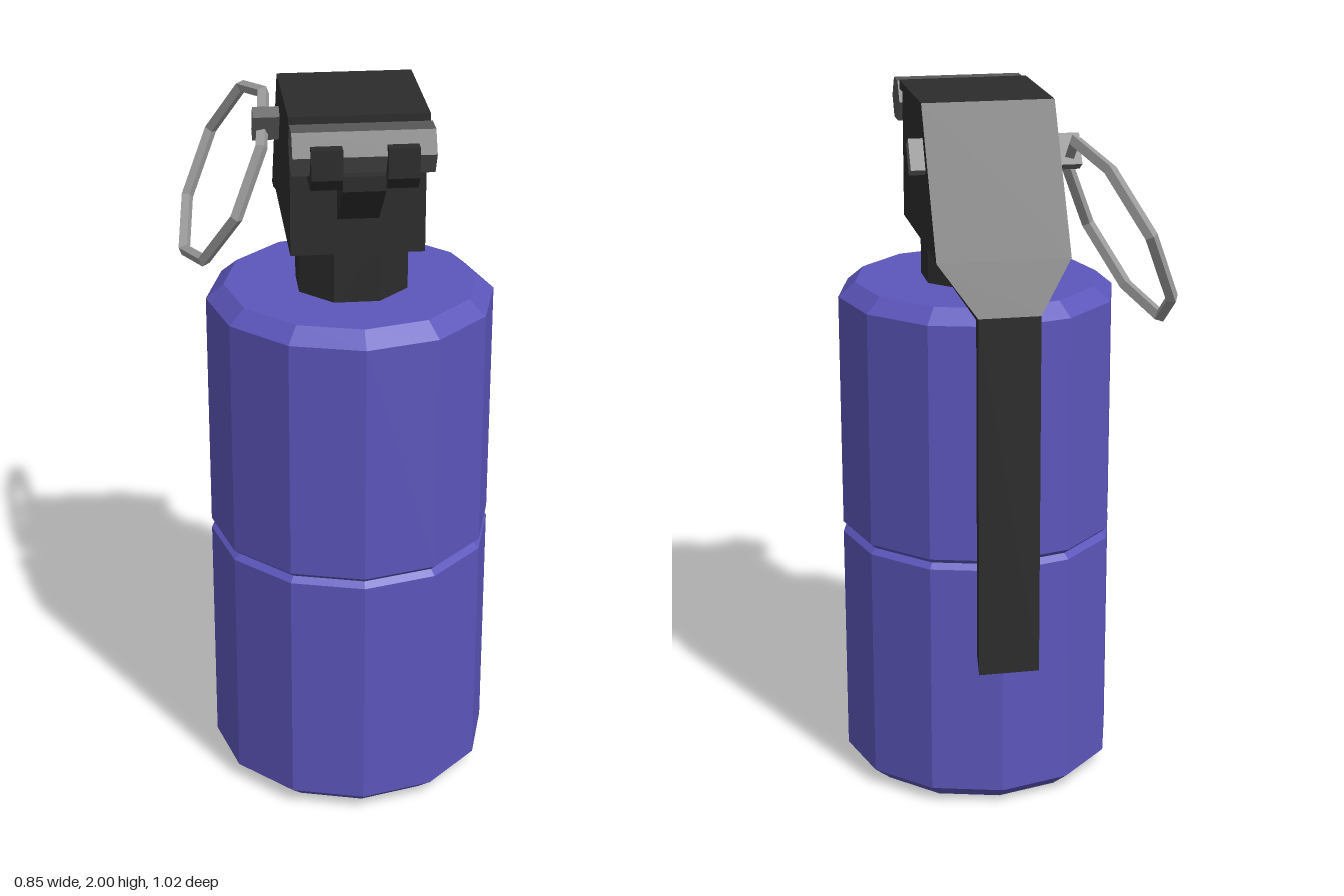
import * as THREE from 'three';

const CX = 0.025; // centre line of the canister and head

const paint = (name, color) => {
  const m = new THREE.MeshStandardMaterial({ color });
  m.name = name;
  return m;
};

// Faceted mesh: every face keeps its own normal
function part(name, geometry, material, parent) {
  const g = geometry.index ? geometry.toNonIndexed() : geometry;
  g.computeVertexNormals();
  const mesh = new THREE.Mesh(g, material);
  mesh.name = name;
  parent.add(mesh);
  return mesh;
}

// Side profile of [z, y] points, extruded across x around the centre line
function sideProfile(points, width) {
  const shape = new THREE.Shape(points.map(([z, y]) => new THREE.Vector2(-z, y)));
  return new THREE.ExtrudeGeometry(shape, { depth: width, bevelEnabled: false })
    .translate(0, 0, -width / 2).rotateY(Math.PI / 2).translate(CX, 0, 0);
}

// Bent sheet from rows of [outer z, outer y, inner z, inner y, half width]
function bentSheet(rows) {
  const pos = [], idx = [];
  rows.forEach(([oz, oy, iz, iy, h]) => {
    pos.push(CX + h, oy, oz, CX - h, oy, oz, CX - h, iy, iz, CX + h, iy, iz);
  });
  for (let r = 0; r < rows.length - 1; r++) {
    for (let i = 0; i < 4; i++) {
      const j = (i + 1) % 4, a = r * 4, b = a + 4;
      idx.push(a + i, b + i, b + j, a + i, b + j, a + j);
    }
  }
  const e = (rows.length - 1) * 4;
  idx.push(0, 1, 2, 0, 2, 3, e + 3, e + 2, e + 1, e + 3, e + 1, e);
  const g = new THREE.BufferGeometry();
  g.setAttribute('position', new THREE.Float32BufferAttribute(pos, 3));
  g.setIndex(idx);
  return g;
}

export function createModel() {
  const model = new THREE.Group();
  model.name = 'canisterGrenade';
  const blue = paint('canister blue', 0x5c56bb);
  const black = paint('black metal', 0x2c2c2c);
  const darkGrey = paint('dark grey metal', 0x575757);
  const pinGrey = paint('pin grey', 0x686868);
  const ringGrey = paint('ring grey', 0x9c9c9c);

  // Twelve-sided canister with chamfered ends and a groove round the middle
  const profile = [[0, 0], [0.34, 0], [0.395, 0.045], [0.395, 0.725], [0.378, 0.74],
    [0.395, 0.755], [0.395, 1.43], [0.347, 1.47], [0, 1.47]]
    .map(([r, y]) => new THREE.Vector2(r, y));
  part('canister', new THREE.LatheGeometry(profile, 12), blue, model)
    .position.set(CX, 0, 0.115);

  // Neck and fuse head
  part('neck', new THREE.CylinderGeometry(0.159, 0.159, 0.18, 8).rotateY(Math.PI / 8), black, model)
    .position.set(CX, 1.55, 0.128);
  part('fuseHead', sideProfile([[0.295, 1.615], [-0.245, 1.615], [-0.05, 1.978], [0.295, 1.978]], 0.355),
    black, model);

  // Safety lever: top plate, slope, taper and hanging strip
  part('safetyLever', bentSheet([
    [0.318, 2.0, 0.318, 1.975, 0.1825],
    [-0.065, 2.0, -0.05, 1.975, 0.1825],
    [-0.29, 1.615, -0.245, 1.615, 0.1825],
    [-0.365, 1.48, -0.335, 1.47, 0.085],
    [-0.365, 0.455, -0.335, 0.5, 0.085],
  ]), black, model);

  // Front hinge: bracket, hexagonal bar and two clips
  part('hingeBracket', sideProfile([[0.28, 1.7], [0.445, 1.84], [0.445, 1.88], [0.28, 1.9]], 0.11),
    black, model);
  part('hingeBar', new THREE.CylinderGeometry(0.066, 0.066, 0.365, 6).rotateZ(Math.PI / 2), darkGrey, model)
    .position.set(CX, 1.934, 0.386);
  for (const side of [-1, 1]) {
    part('hingeClip', sideProfile([[0.29, 1.845], [0.44, 1.845], [0.47, 1.88], [0.47, 1.96],
      [0.43, 1.96], [0.43, 1.9], [0.29, 1.9]], 0.08), black, model)
      .position.x = side * 0.097;
  }

  // Safety pin through the head, tilted with the lever slope
  const pin = part('safetyPin', new THREE.BoxGeometry(0.47, 0.09, 0.04), pinGrey, model);
  pin.position.set(0.01, 1.858, -0.075);
  pin.rotation.x = -Math.PI / 6 + Math.PI / 3;

  // Octagonal pull ring hanging off the pin
  const up = new THREE.Vector3(0.12, 0.25, 0.03).normalize();
  const back = new THREE.Vector3(-0.02, 0.05, -0.28);
  back.addScaledVector(up, -back.dot(up)).normalize();
  const axis = new THREE.Vector3().crossVectors(up, back);
  const ring = part('pullRing', new THREE.TorusGeometry(0.267, 0.018, 4, 8), ringGrey, model);
  ring.quaternion.setFromRotationMatrix(new THREE.Matrix4().makeBasis(up, back, axis));
  ring.position.set(-0.3, 1.67, -0.225);

  return model;
}
